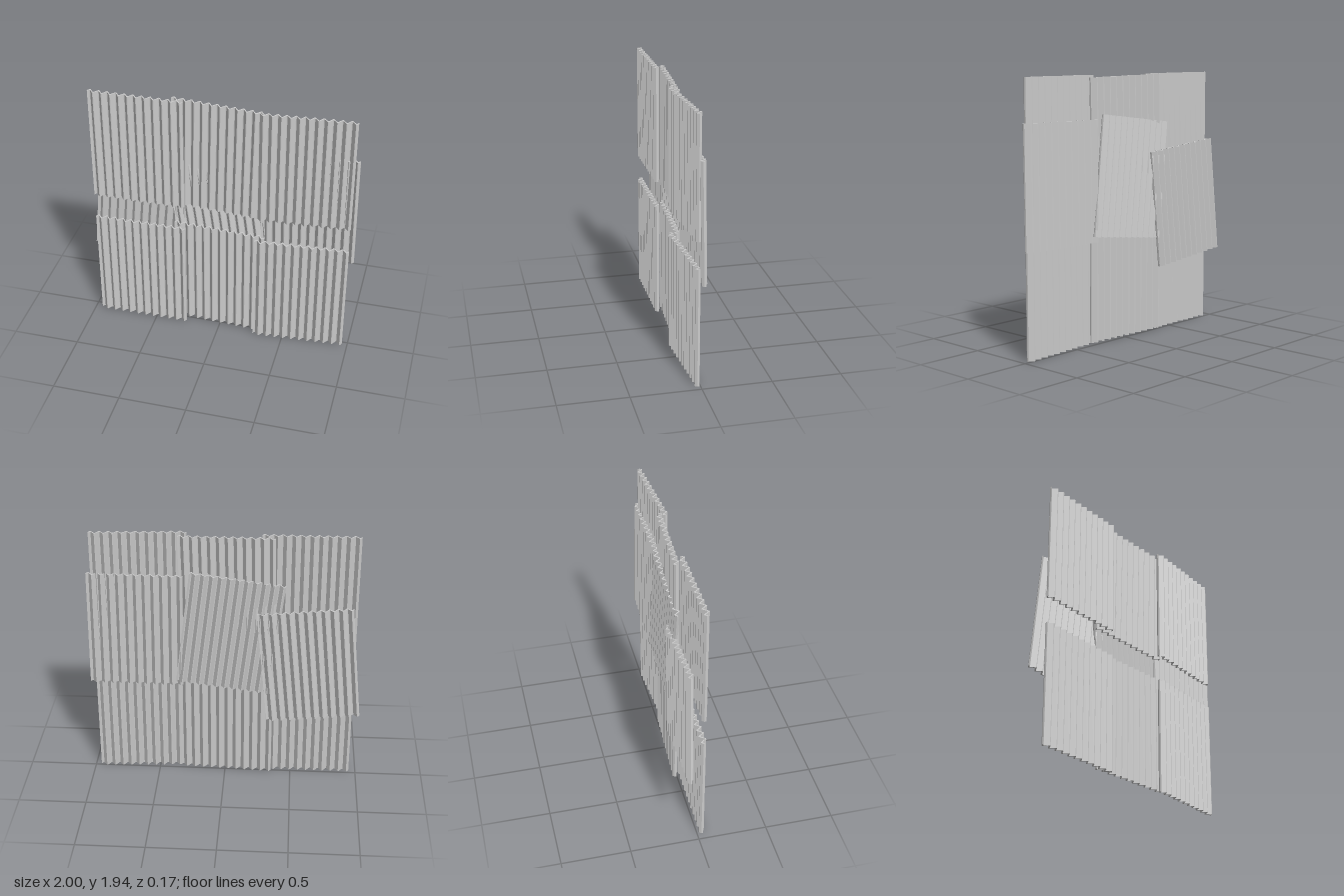
import * as THREE from 'three';

const WIDTH = 0.69, HEIGHT = 0.872, WAVES = 11, AMP = 0.016, THICK = 0.013;

// Corrugated sheet: a zigzag strip with narrow flat crests, extruded upwards
function corrugatedGeometry() {
  const pitch = WIDTH / WAVES, line = [[-WIDTH / 2, 0]];
  for (let i = 0; i < WAVES; i++) {
    const x = -WIDTH / 2 + i * pitch;
    line.push([x + 0.2 * pitch, AMP], [x + 0.3 * pitch, AMP]);
    line.push([x + 0.7 * pitch, -AMP], [x + 0.8 * pitch, -AMP]);
  }
  line.push([WIDTH / 2, 0]);
  const front = line.map(([x, z]) => new THREE.Vector2(x, z + THICK / 2));
  const back = line.map(([x, z]) => new THREE.Vector2(x, z - THICK / 2)).reverse();
  const shape = new THREE.Shape([...front, ...back]);
  const geo = new THREE.ExtrudeGeometry(shape, { depth: HEIGHT, bevelEnabled: false });
  geo.translate(0, 0, -HEIGHT / 2);
  geo.rotateX(-Math.PI / 2); // extrusion direction becomes vertical
  return geo;
}

export function createModel() {
  const group = new THREE.Group();
  const geo = corrugatedGeometry();
  const mat = new THREE.MeshStandardMaterial({ color: 0xcccccc, flatShading: true });

  // name, centre, then tilt about x, y and z in degrees
  const sheets = [
    // upper row
    ['upperRightSheet', [-0.605, 1.51, 0.038], [0, 0, 0]],
    ['upperMiddleSheet', [-0.018, 1.5, 0.004], [0, -3, -1.2]],
    ['upperLeftSheet', [0.615, 1.51, 0.039], [0, 3.9, 0]],
    // lower row
    ['lowerRightSheet', [-0.605, 0.441, 0.038], [0, 0, 0]],
    ['lowerMiddleSheet', [-0.008, 0.456, 0.004], [0, -3, 0]],
    ['lowerLeftSheet', [0.615, 0.441, 0.039], [0, 3.9, 0]],
    // loose sheets covering the gap from behind
    ['backRightSheet', [-0.615, 0.967, -0.056], [0.7, 0, -5.5]],
    ['backMiddleSheet', [-0.038, 1.195, -0.031], [1, 0, 7]],
    ['backLeftSheet', [0.648, 1.2, -0.01], [1, 0, 0.4]],
  ];
  for (const [name, position, tilt] of sheets) {
    const sheet = new THREE.Mesh(geo, mat);
    sheet.name = name;
    sheet.position.set(...position);
    sheet.rotation.set(...tilt.map(THREE.MathUtils.degToRad));
    group.add(sheet);
  }
  return group;
}
